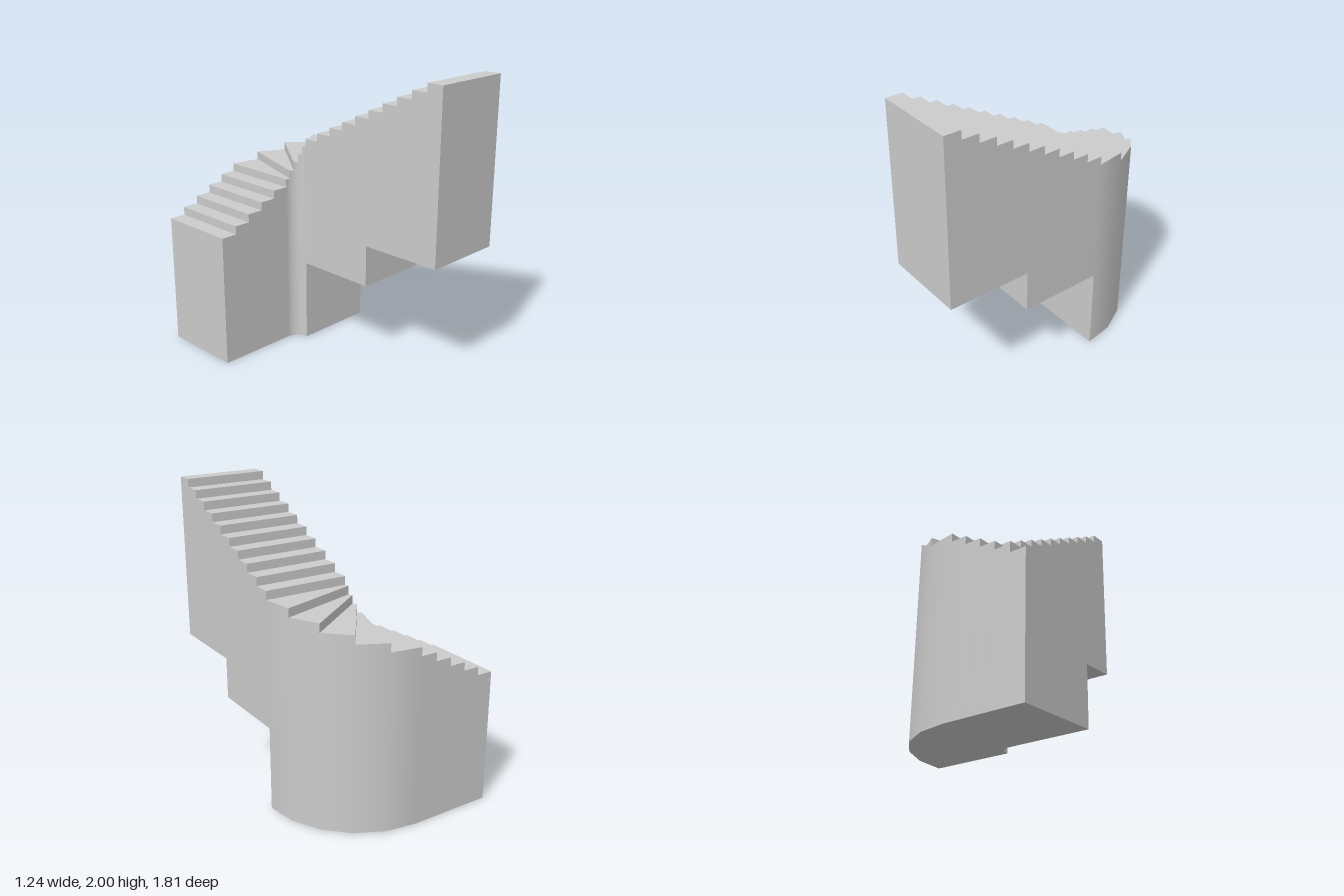
import * as THREE from 'three';

const RISE = 2 / 35;               // height of one step
const GOING = 0.1143;              // depth of a straight step
const PIVOT = { x: -0.048, z: -0.238 };
const R_IN = 0.095, R_OUT = 0.667; // inner and outer radius of the turn
const LOW = 5, TURN = 5, HIGH = 10;
const COUNT = LOW + TURN + HIGH;

// Plan station s: inner and outer edge points plus the outward direction
function station(s) {
  const turn = THREE.MathUtils.clamp(s - LOW, 0, TURN);
  const a = (turn / TURN) * Math.PI / 2;
  const out = new THREE.Vector3(Math.sin(a), 0, -Math.cos(a));
  const x = PIVOT.x + Math.min(0, s - LOW) * GOING;
  const z = PIVOT.z + Math.max(0, s - LOW - TURN) * GOING;
  const at = (r) => (y) => new THREE.Vector3(x + out.x * r, y, z + out.z * r);
  return { inner: at(R_IN), outer: at(R_OUT), out, back: out.clone().negate() };
}

const topOf = (i) => 2 - (COUNT - 1 - i) * RISE;
// The underside is stepped in blocks of five treads
const bottomOf = (i) => (i < 10 ? 0 : i < 15 ? 0.577 : 0.862);

// Solid run of steps from index 'from' up to 'to'
function flight(name, from, to, material) {
  const pos = [], nor = [];
  const quad = (p, normals) => {
    const flat = p[1].clone().sub(p[0]).cross(p[2].clone().sub(p[0])).normalize();
    for (const k of [0, 1, 2, 0, 2, 3]) {
      pos.push(...p[k].toArray());
      nor.push(...(normals ? normals[k] : flat).toArray());
    }
  };
  for (let i = from; i < to; i++) {
    const a = station(i), b = station(i + 1);
    const lo = bottomOf(i), hi = topOf(i);
    // tread and underside
    quad([a.outer(hi), a.inner(hi), b.inner(hi), b.outer(hi)]);
    quad([b.outer(lo), b.inner(lo), a.inner(lo), a.outer(lo)]);
    // riser, full height on the first step
    const r = i === 0 ? lo : topOf(i - 1);
    quad([a.inner(r), a.inner(hi), a.outer(hi), a.outer(r)]);
    // inner and outer walls, smooth around the turn
    quad([a.inner(lo), b.inner(lo), b.inner(hi), a.inner(hi)], [a.back, b.back, b.back, a.back]);
    quad([b.outer(lo), a.outer(lo), a.outer(hi), b.outer(hi)], [b.out, a.out, a.out, b.out]);
    // front faces of the underside blocks and the top end
    const end = i === COUNT - 1 ? hi : bottomOf(i + 1);
    if (end > lo) quad([b.outer(lo), b.outer(end), b.inner(end), b.inner(lo)]);
  }
  const geometry = new THREE.BufferGeometry();
  geometry.setAttribute('position', new THREE.Float32BufferAttribute(pos, 3));
  geometry.setAttribute('normal', new THREE.Float32BufferAttribute(nor, 3));
  const mesh = new THREE.Mesh(geometry, material);
  mesh.name = name;
  return mesh;
}

export function createModel() {
  const material = new THREE.MeshStandardMaterial({ color: 0xcccccc });
  const stairs = new THREE.Group();
  stairs.name = 'staircase';
  stairs.add(
    flight('lowerFlight', 0, LOW, material),
    flight('winderTurn', LOW, LOW + TURN, material),
    flight('upperFlight', LOW + TURN, COUNT, material),
  );
  return stairs;
}
